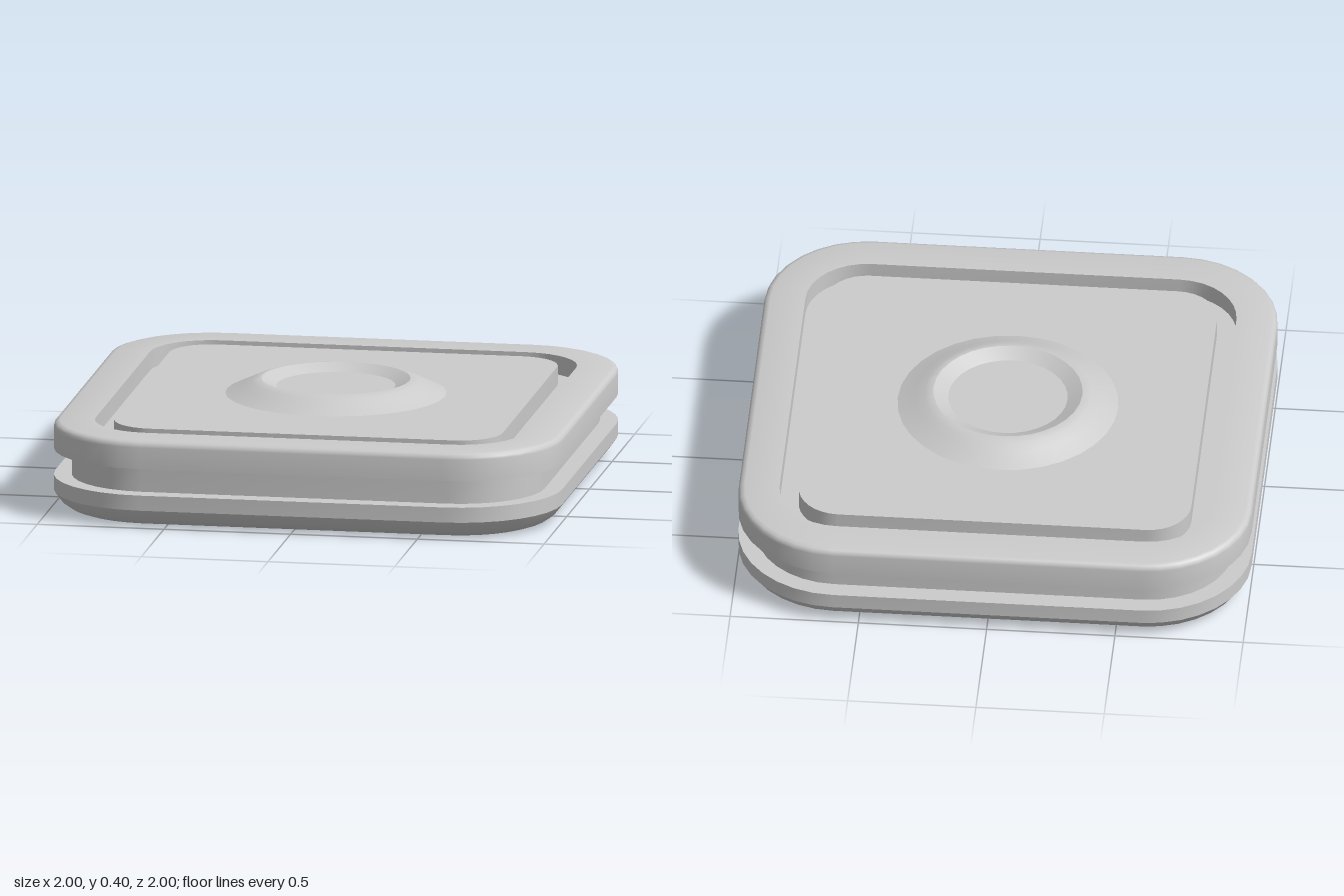
import * as THREE from 'three';
import { toCreasedNormals } from 'three/addons/utils/BufferGeometryUtils.js';

const CORNER = 0.6; // centre of the rounded corners
const STEPS = 8; // segments per corner

// Rounded-square outline of a given half width
function ring(half, y) {
  const c = Math.min(CORNER, half), r = half - c, pts = [];
  for (let q = 0; q < 4; q++) {
    const mid = (q + 0.5) * Math.PI / 2;
    const cx = c * Math.sign(Math.cos(mid)), cz = -c * Math.sign(Math.sin(mid));
    for (let s = 0; s <= STEPS; s++) {
      const a = (q + s / STEPS) * Math.PI / 2;
      pts.push([cx + r * Math.cos(a), y, cz - r * Math.sin(a)]);
    }
  }
  return pts;
}

// Skin rounded-square outlines along a [halfWidth, y] profile, bottom to top
function squareLathe(profile) {
  const rings = profile.map(([half, y]) => ring(half, y));
  const n = rings[0].length, pos = [];
  for (let i = 0; i < rings.length - 1; i++) {
    for (let j = 0; j < n; j++) {
      const k = (j + 1) % n;
      const a = rings[i][j], b = rings[i][k], c = rings[i + 1][k], d = rings[i + 1][j];
      if (profile[i][0] > 0) pos.push(...a, ...b, ...c);
      if (profile[i + 1][0] > 0) pos.push(...a, ...c, ...d);
    }
  }
  const g = new THREE.BufferGeometry();
  g.setAttribute('position', new THREE.Float32BufferAttribute(pos, 3));
  return toCreasedNormals(g, 0.6);
}

export function createModel() {
  const group = new THREE.Group();
  const material = new THREE.MeshStandardMaterial({ color: 0xcccccc });
  const add = (name, geometry) => {
    const mesh = new THREE.Mesh(geometry, material);
    mesh.name = name;
    group.add(mesh);
  };

  // Square body with a groove underneath, around the side and on top
  add('body', squareLathe([
    [0, 0], [0.7, 0], [0.7, 0.05], [0.78, 0.05], [0.78, 0], // underside groove
    [0.91, 0], [0.94, 0.01], [0.97, 0.03], [1, 0.07], [1, 0.13], // lower rim
    [0.93, 0.13], [0.93, 0.235], [1, 0.235], // side groove
    [1, 0.32], [0.998, 0.33], [0.99, 0.34], [0.975, 0.345], // upper rim
    [0.84, 0.345], [0.84, 0.27], [0.765, 0.27], [0.765, 0.345], [0, 0.345], // top groove
  ]));

  // Flared central boss with a shallow dished top
  const boss = [
    [0.45, 0.338], [0.43, 0.345], [0.36, 0.377], [0.325, 0.393], [0.295, 0.403],
    [0.29, 0.403], [0.232, 0.375], [0, 0.375],
  ].map(([x, y]) => new THREE.Vector2(x, y));
  add('centralBoss', toCreasedNormals(new THREE.LatheGeometry(boss, 32), 0.4));

  return group;
}
